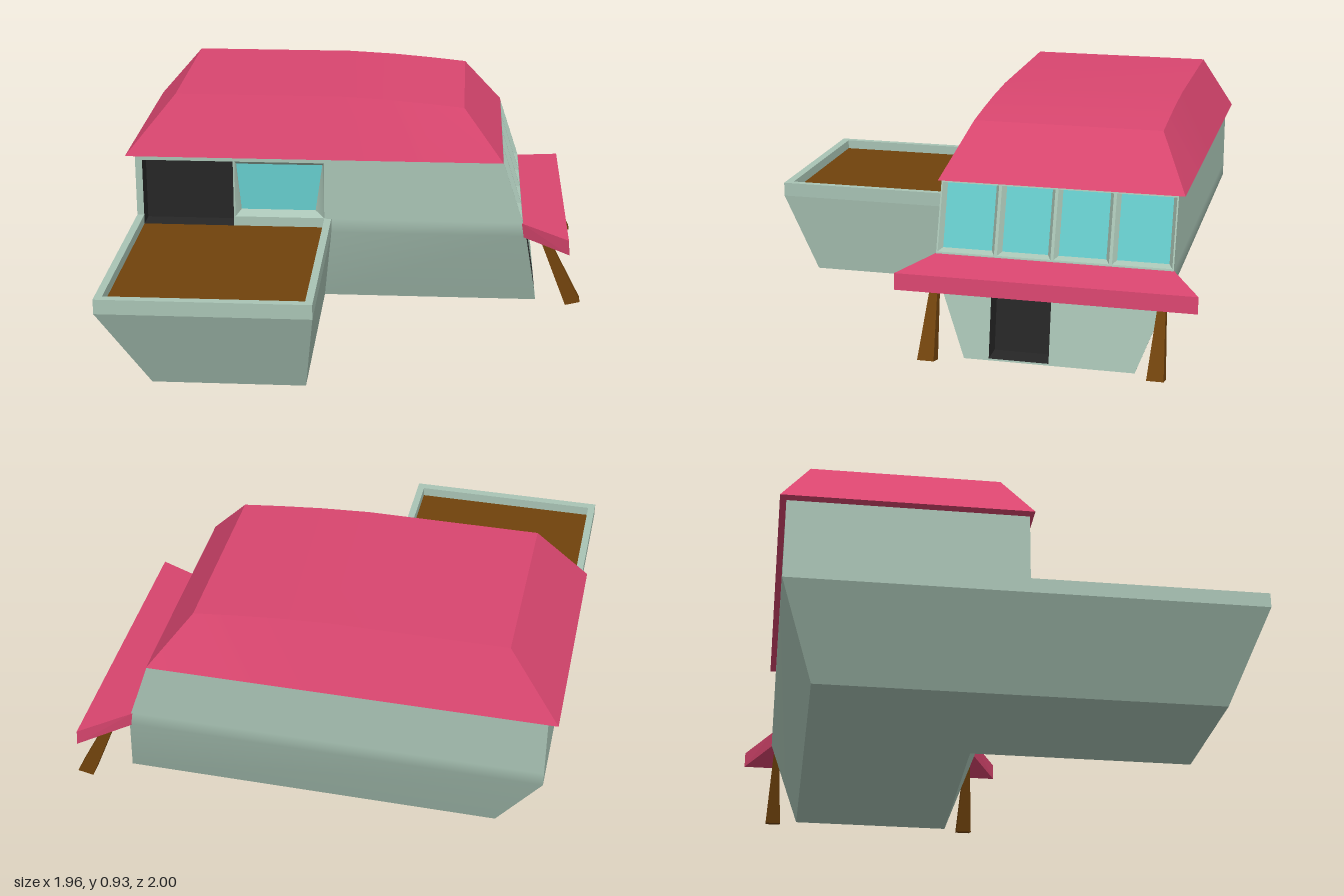
import * as THREE from 'three';
import { ConvexGeometry } from 'three/addons/geometries/ConvexGeometry.js';

const V = (x, y, z) => new THREE.Vector3(x, y, z);
const mat = (color) => new THREE.MeshStandardMaterial({ color, side: THREE.DoubleSide });

export function createModel() {
  const model = new THREE.Group();
  const wall = mat(0xa9c4b5), pink = mat(0xd9466f), glass = mat(0x66cccc);
  const wood = mat(0x70420c), dark = mat(0x262626);

  const add = (name, geometry, material, parent = model) => {
    const mesh = new THREE.Mesh(geometry, material);
    mesh.name = name;
    parent.add(mesh);
    return mesh;
  };

  // Smooth band through rows of [left, right] points
  const strip = (rows) => {
    const g = new THREE.BufferGeometry().setFromPoints(rows.flat());
    const index = [];
    for (let i = 0; i < rows.length - 1; i++) {
      const k = 2 * i;
      index.push(k, k + 1, k + 3, k, k + 3, k + 2);
    }
    g.setIndex(index);
    g.computeVertexNormals();
    return g;
  };
  const quad = (a, b, c, d) => strip([[a, b], [d, c]]);

  // Flat outline with holes, placed in space by a rule
  const panel = (outline, holes, place) => {
    const toPoints = (list) => list.map(([u, v]) => new THREE.Vector2(u, v));
    const shape = new THREE.Shape(toPoints(outline));
    holes.forEach((h) => shape.holes.push(new THREE.Path(toPoints(h))));
    const g = new THREE.ShapeGeometry(shape);
    const p = g.attributes.position;
    for (let i = 0; i < p.count; i++) p.setXYZ(i, ...place(p.getX(i), p.getY(i)).toArray());
    g.computeVertexNormals();
    return g;
  };

  // Opening set into a wall: four reveals and a back pane
  const recess = (name, outer, inner, sideMat, backMat) => {
    const group = new THREE.Group();
    group.name = name;
    for (let i = 0; i < 4; i++) {
      const j = (i + 1) % 4;
      add('reveal', quad(outer[i], outer[j], inner[j], inner[i]), sideMat, group);
    }
    add('pane', quad(...inner), backMat, group);
    model.add(group);
  };

  // Slanted end wall: x as a function of height
  const endX = (y) => (y < 0.41 ? 0.79 - 0.171 * y : 0.72 - (y - 0.41) / 3);

  // House walls
  add('backWall', strip([[0.005, -0.75, -0.75], [0.35, -0.94, -0.88], [0.41, -0.94, -0.88], [0.68, -0.94, -0.88]]
    .map(([y, x, z]) => [V(endX(y), y, z), V(x, y, z)])), wall);
  add('frontLowerWall', strip([[0.005, -0.14, -0.07], [0.35, -0.1, 0.06], [0.41, -0.1, 0.06]]
    .map(([y, x, z]) => [V(x, y, z), V(endX(y), y, z)])), wall);
  add('sideLowerWall', quad(V(-0.75, 0.005, -0.75), V(-0.75, 0.005, 0.86), V(-0.94, 0.35, 1), V(-0.94, 0.35, -0.88)), wall);
  add('sideUpperWall', quad(V(-0.94, 0.35, -0.88), V(-0.94, 0.35, 0.06), V(-0.94, 0.68, 0.06), V(-0.94, 0.68, -0.88)), wall);

  // Wing walls
  add('wingFrontWall', quad(V(-0.75, 0.005, 0.86), V(-0.14, 0.005, 0.86), V(-0.1, 0.35, 1), V(-0.94, 0.35, 1)), wall);
  add('wingSideWall', quad(V(-0.14, 0.005, 0.86), V(-0.14, 0.005, -0.07), V(-0.1, 0.35, 0.06), V(-0.1, 0.35, 1)), wall);

  // L-shaped underside
  add('underside', panel([[-0.75, -0.75], [0.79, -0.75], [0.79, -0.07], [-0.14, -0.07], [-0.14, 0.86], [-0.75, 0.86]],
    [], (x, z) => V(x, 0.005, z)), wall);

  // Terrace floor and parapet
  add('terraceFloor', quad(V(-0.92, 0.37, 0.98), V(-0.12, 0.37, 0.98), V(-0.12, 0.37, 0.03), V(-0.92, 0.37, 0.03)), wood);
  const parapet = (x0, x1, z0, z1) => {
    const g = new THREE.BoxGeometry(x1 - x0, 0.06, z1 - z0);
    add('parapet', g.translate((x0 + x1) / 2, 0.38, (z0 + z1) / 2), wall);
  };
  parapet(-0.94, -0.91, 0.06, 0.965);
  parapet(-0.13, -0.1, 0.06, 0.965);
  parapet(-0.94, -0.1, 0.965, 1);

  // Front upper wall with terrace door and window
  const doorHole = [[-0.91, 0.37], [-0.52, 0.37], [-0.52, 0.66], [-0.91, 0.66]];
  const windowHole = [[-0.513, 0.412], [-0.13, 0.412], [-0.13, 0.66], [-0.513, 0.66]];
  const windowPane = [[-0.49, 0.435], [-0.17, 0.435], [-0.14, 0.64], [-0.51, 0.64]];
  const onFront = (list, z) => list.map(([x, y]) => V(x, y, z));
  add('frontUpperWall', panel([[-0.94, 0.36], [-0.1, 0.36], [-0.1, 0.41], [0.72, 0.41], [0.63, 0.68], [-0.94, 0.68]],
    [doorHole, windowHole], (x, y) => V(x, y, 0.06)), wall);
  recess('terraceDoor', onFront(doorHole, 0.06), onFront(doorHole, -0.03), dark, dark);
  recess('frontWindow', onFront(windowHole, 0.06), onFront(windowPane, 0.025), wall, glass);

  // End wall: entrance below, row of four windows above
  const onEnd = (list, depth) => list.map(([u, y]) => V(endX(y) - depth, y, -u));
  const rect = (u0, u1, y0, y1) => [[u0, y0], [u1, y0], [u1, y1], [u0, y1]];
  const entrance = rect(0.17, 0.41, 0.012, 0.345);
  add('endLowerWall', panel([[0.07, 0.005], [0.75, 0.005], [0.88, 0.35], [0.88, 0.41], [-0.06, 0.41], [-0.06, 0.35]],
    [entrance], (u, y) => V(endX(y), y, -u)), wall);
  recess('entrance', onEnd(entrance, 0), onEnd(entrance, 0.1), dark, dark);

  const posts = [-0.06, 0.18, 0.405, 0.635, 0.88];
  const openings = posts.slice(0, 4).map((u, i) => rect(u + 0.006, posts[i + 1] - 0.006, 0.415, 0.675));
  add('endUpperWall', panel(rect(-0.06, 0.88, 0.41, 0.68), openings, (u, y) => V(endX(y), y, -u)), wall);
  for (const o of openings) {
    const pane = rect(o[0][0] + 0.015, o[1][0] - 0.015, 0.425, 0.67);
    recess('endWindow', onEnd(o, 0), onEnd(pane, 0.025), wall, glass);
  }

  // Hipped roof with a gently falling top: [eave x, top x, top y]
  const sections = [[-0.98, -0.77, 0.93], [-0.07, -0.07, 0.93], [0.13, 0.13, 0.92], [0.3, 0.3, 0.906], [0.63, 0.46, 0.89]]
    .map(([ex, tx, ty]) => [V(ex, 0.68, -0.905), V(tx, ty, -0.79), V(tx, ty, -0.03), V(ex, 0.68, 0.075)]);
  const roof = new THREE.Group();
  roof.name = 'roof';
  model.add(roof);
  ['backSlope', 'top', 'frontSlope', 'soffit'].forEach((name, i) => {
    add(name, strip(sections.map((s) => [s[i], s[(i + 1) % 4]])), pink, roof);
  });
  const [a, b] = [sections[0], sections[sections.length - 1]];
  add('sideHip', quad(a[0], a[3], a[2], a[1]), pink, roof);
  add('endHip', quad(b[3], b[0], b[1], b[2]), pink, roof);

  // Flared awning over the entrance
  const awning = [];
  for (const [zIn, zOut] of [[0.06, 0.175], [-0.88, -1]]) {
    awning.push(V(0.715, 0.408, zIn), V(0.725, 0.345, zIn), V(0.91, 0.378, zOut), V(0.915, 0.312, zOut));
  }
  add('awning', new ConvexGeometry(awning), pink);

  // Splayed awning legs, wider at the foot
  for (const z of [0.035, -0.855]) {
    const points = [];
    for (const s of [-1, 1]) {
      points.push(V(0.795, 0.335, z + s * 0.013), V(0.83, 0.34, z + s * 0.013));
      points.push(V(0.912, 0.04, z + s * 0.033), V(0.975, 0.055, z + s * 0.033));
    }
    add('awningLeg', new ConvexGeometry(points), wood);
  }
  return model;
}
